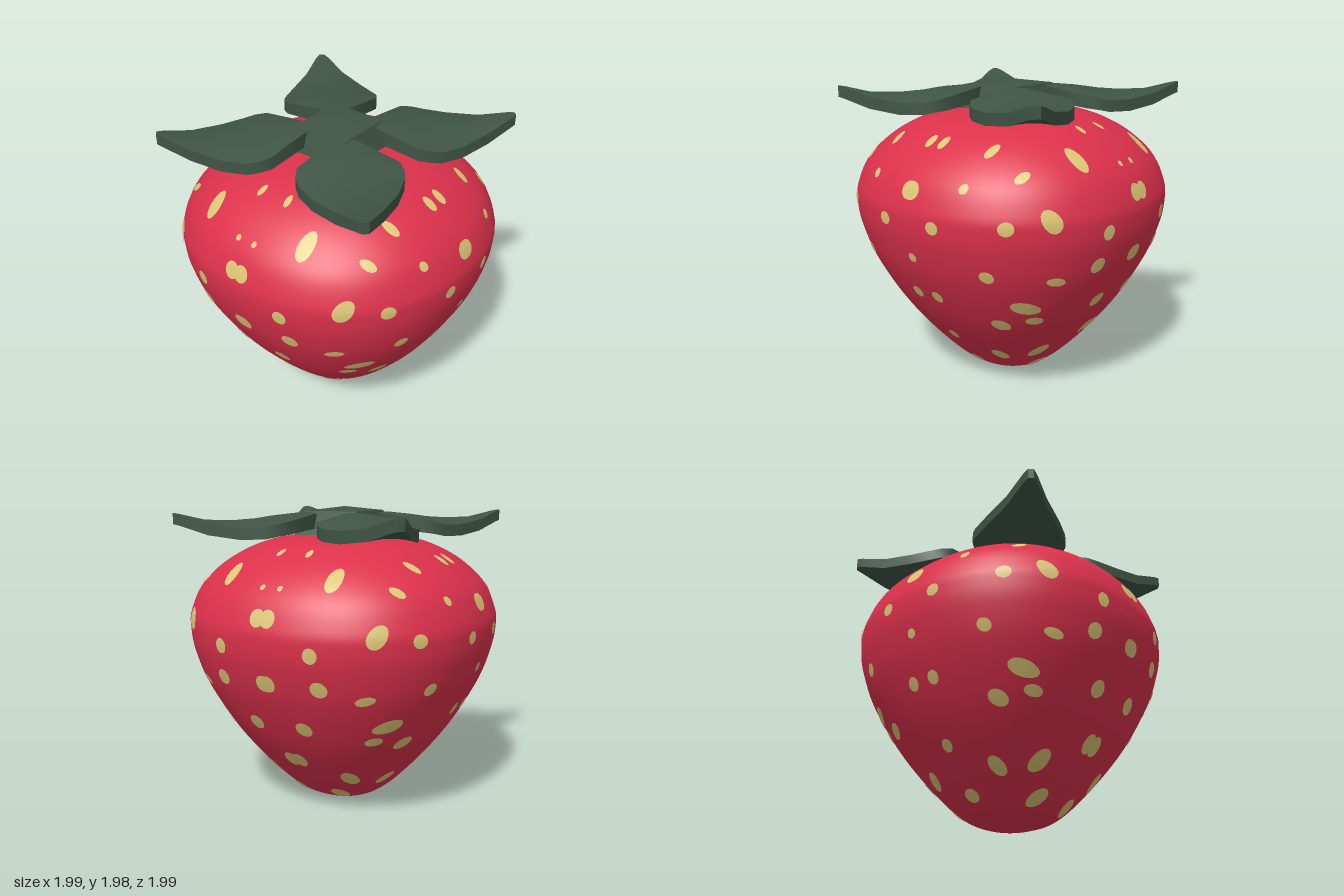
import * as THREE from 'three';
import { mergeGeometries, mergeVertices, toCreasedNormals } from 'three/addons/utils/BufferGeometryUtils.js';

const N = 2.25; // roundness of the slightly square cross-section

// Body outline as (radius, height), bottom to top
const outline = new THREE.SplineCurve([
  [0, 0.005], [0.246, 0.037], [0.46, 0.214], [0.71, 0.52], [0.89, 0.83], [0.97, 1.05], [0.995, 1.2],
  [0.985, 1.32], [0.9, 1.5], [0.7, 1.67], [0.42, 1.78], [0, 1.82],
].map(([r, y]) => new THREE.Vector2(r, y))).getPoints(66);
outline[0].x = outline[66].x = 0;

function radiusAt(y) {
  for (let i = 1; i < outline.length; i++) {
    const a = outline[i - 1], b = outline[i];
    if (y <= b.y) return a.x + (b.x - a.x) * Math.max(0, (y - a.y) / (b.y - a.y));
  }
  return 0;
}

function bodyGeometry() {
  const geo = new THREE.LatheGeometry(outline, 64);
  const p = geo.attributes.position;
  for (let i = 0; i < p.count; i++) {
    const x = p.getX(i), z = p.getZ(i), r = Math.hypot(x, z);
    if (r < 1e-6) continue;
    const k = 1 / Math.pow(Math.pow(Math.abs(x / r), N) + Math.pow(Math.abs(z / r), N), 1 / N);
    p.setXYZ(i, x * k, p.getY(i), z * k);
  }
  geo.deleteAttribute('uv');
  geo.deleteAttribute('normal');
  const merged = mergeVertices(geo, 1e-5);
  merged.computeVertexNormals();
  return merged;
}

// Thin oval laid on the front of the body
function seedGeometry(u, v, w, h, tilt) {
  const S = 18, pos = [], index = [];
  const add = (a, k) => {
    const ex = Math.cos(a) * w / 2 * k, ey = Math.sin(a) * h / 2 * k;
    const x = u + ex * Math.cos(tilt) - ey * Math.sin(tilt);
    const y = v + ex * Math.sin(tilt) + ey * Math.cos(tilt);
    const z = Math.pow(Math.max(0, Math.pow(radiusAt(y), N) - Math.pow(Math.abs(x), N)), 1 / N);
    const lift = 1.006;
    pos.push(x * lift, 1 + (y - 1) * lift, z * lift);
  };
  add(0, 0);
  for (const k of [0.5, 1]) for (let i = 0; i < S; i++) add(i / S * Math.PI * 2, k);
  for (let i = 0; i < S; i++) {
    const a = 1 + i, b = 1 + (i + 1) % S;
    index.push(0, a, b, a, a + S, b + S, a, b + S, b);
  }
  const geo = new THREE.BufferGeometry();
  geo.setAttribute('position', new THREE.Float32BufferAttribute(pos, 3));
  geo.setIndex(index);
  geo.computeVertexNormals();
  return geo;
}

// Seeds as [across, height, width, length, tilt], mirrored across the middle
const frontSeeds = [
  [0.1, 1.715, 0.045, 0.035, -0.6], [0.06, 1.535, 0.035, 0.03], [0.035, 1.37, 0.1, 0.105],
  [0.355, 1.585, 0.09, 0.125, 0.2], [0.65, 1.29, 0.095, 0.14, -0.25], [0.31, 1.18, 0.085, 0.095],
  [0.335, 0.975, 0.1, 0.1], [0.015, 0.98, 0.1, 0.105], [0.565, 0.905, 0.11, 0.055, 0.3],
  [0.17, 0.685, 0.105, 0.1], [0.53, 0.605, 0.1, 0.055, 0.4], [0.03, 0.415, 0.1, 0.11],
  [0.29, 0.28, 0.1, 0.12, -0.3], [0.15, 0.11, 0.11, 0.095],
];
const sideSeeds = [
  [0.05, 1.66, 0.06, 0.06], [0.38, 1.64, 0.06, 0.065], [0.61, 1.52, 0.06, 0.06],
  [0.35, 1.455, 0.055, 0.055], [0.01, 1.41, 0.11, 0.105], [0.61, 1.255, 0.08, 0.085],
  [0.19, 1.22, 0.085, 0.08], [0, 1, 0.06, 0.06], [0.475, 0.945, 0.08, 0.08],
  [0.08, 0.73, 0.08, 0.08], [0.59, 0.715, 0.13, 0.1, -0.2], [0.42, 0.57, 0.1, 0.09],
  [0, 0.385, 0.075, 0.07], [0.25, 0.25, 0.09, 0.1], [0, 0.13, 0.1, 0.07],
];
function seedSet(list) {
  const parts = [];
  for (const [u, v, w, h, tilt = 0] of list) {
    parts.push(seedGeometry(u, v, w, h, tilt));
    if (u > 0) parts.push(seedGeometry(-u, v, w, h, -tilt));
  }
  return mergeGeometries(parts);
}

// Leaf along +z: stations of [distance, half width, ridge height, edge height, thickness]
function leafGeometry() {
  const stations = [
    [0.145, 0.004, 1.95, 1.95, 0.1], [0.3, 0.16, 1.945, 1.925, 0.09], [0.44, 0.3, 1.93, 1.9, 0.08],
    [0.515, 0.315, 1.92, 1.885, 0.075], [0.587, 0.304, 1.91, 1.87, 0.075], [0.735, 0.24, 1.9, 1.865, 0.075],
    [0.92, 0.13, 1.905, 1.89, 0.075], [1.08, 0.045, 1.943, 1.94, 0.07], [1.12, 0.018, 1.95, 1.95, 0.07],
  ];
  const M = 6, R = 2 * (M + 1), pos = [], index = [];
  for (const [s, w, ridge, edge, thick] of stations) {
    for (let i = 0; i < R; i++) {
      const top = i <= M;
      const t = (top ? i : R - 1 - i) / M * 2 - 1;
      pos.push(t * w, ridge + (edge - ridge) * t * t - (top ? 0 : thick), s);
    }
  }
  const last = stations.length - 1;
  for (let j = 0; j < last; j++) {
    for (let i = 0; i < R; i++) {
      const a = j * R + i, b = j * R + (i + 1) % R;
      index.push(a, a + R, b, b, a + R, b + R);
    }
  }
  // close both ends
  for (let i = 1; i < R - 1; i++) {
    index.push(0, i, i + 1, last * R, last * R + i + 1, last * R + i);
  }
  const geo = new THREE.BufferGeometry();
  geo.setAttribute('position', new THREE.Float32BufferAttribute(pos, 3));
  geo.setIndex(index);
  return toCreasedNormals(geo, 0.8);
}

export function createModel() {
  const red = new THREE.MeshStandardMaterial({ name: 'berry red', color: 0xdc314b });
  const yellow = new THREE.MeshStandardMaterial({ name: 'seed yellow', color: 0xdcc576 });
  const green = new THREE.MeshStandardMaterial({ name: 'leaf green', color: 0x3f5545 });
  const model = new THREE.Group();
  model.name = 'strawberry';
  const add = (name, geo, mat, parent = model) => {
    const mesh = new THREE.Mesh(geo, mat);
    mesh.name = name;
    parent.add(mesh);
    return mesh;
  };

  add('berryBody', bodyGeometry(), red);

  // Seeds on the four sides
  const front = seedSet(frontSeeds), side = seedSet(sideSeeds);
  ['frontSeeds', 'leftSeeds', 'backSeeds', 'rightSeeds'].forEach((name, k) => {
    add(name, k % 2 ? side : front, yellow).rotation.y = k * Math.PI / 2;
  });

  // Leafy crown: four diagonal leaves around a square hub
  const crown = new THREE.Group();
  crown.name = 'crown';
  model.add(crown);
  const leaf = leafGeometry();
  for (let k = 0; k < 4; k++) {
    add('leaf' + (k + 1), leaf, green, crown).rotation.y = Math.PI / 4 + k * Math.PI / 2;
  }
  const D = Math.SQRT2;
  const hub = new THREE.CylinderGeometry(0.19 * D, 0.245 * D, 0.165, 4).rotateY(Math.PI / 4);
  add('crownHub', toCreasedNormals(hub, 0.5), green, crown).position.y = 1.8725;
  const cap = new THREE.ConeGeometry(0.19 * D, 0.028, 4).rotateY(Math.PI / 4);
  add('crownCap', toCreasedNormals(cap, 0.5), green, crown).position.y = 1.969;

  return model;
}
